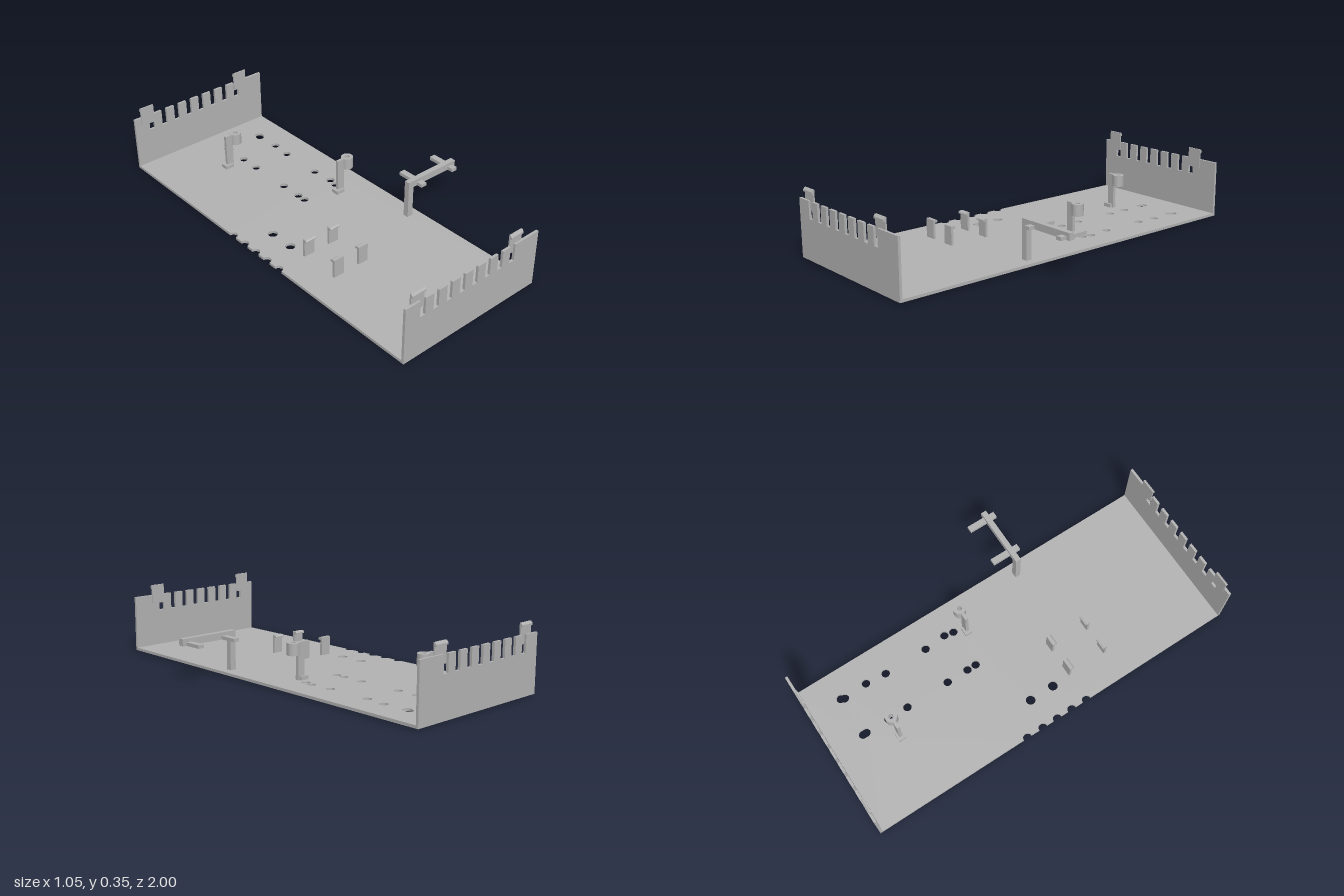
import * as THREE from 'three';

export function createModel() {
  const model = new THREE.Group();
  const grey = new THREE.MeshStandardMaterial({ color: 0xb2b2b2 });
  grey.name = 'grey plastic';

  const add = (name, geometry, parent = model) => {
    const mesh = new THREE.Mesh(geometry, grey);
    mesh.name = name;
    parent.add(mesh);
    return mesh;
  };
  // Box given by its limits on each axis
  const box = (name, x0, x1, y0, y1, z0, z1, parent) => {
    const g = new THREE.BoxGeometry(x1 - x0, y1 - y0, z1 - z0);
    g.translate((x0 + x1) / 2, (y0 + y1) / 2, (z0 + z1) / 2);
    return add(name, g, parent);
  };
  const extrude = (shape, depth) =>
    new THREE.ExtrudeGeometry(shape, { depth, bevelEnabled: false, curveSegments: 16 });

  const L = -0.528, R = 0.28, BOTTOM = 0.005, FLOOR = 0.019, T = 0.013;

  // Floor plate with round bites along the left edge (shape y is -z)
  const floor = new THREE.Shape();
  floor.moveTo(L, -1).lineTo(R, -1).lineTo(R, 1).lineTo(L, 1);
  for (const z of [-0.167, -0.077, 0.008, 0.093, 0.18])
    floor.absarc(L, -z, 0.023, Math.PI / 2, -Math.PI / 2, true);
  floor.closePath();

  // Screw holes
  const holes = [[-0.378, -0.05], [-0.378, 0.082]];
  for (const z of [-0.682, -0.574, -0.341, -0.225, -0.177])
    holes.push([-0.077, z], [z === -0.682 || z === -0.225 ? 0.138 : 0.129, z]);
  for (const [x, z] of holes) {
    const hole = new THREE.Path();
    hole.absarc(x, -z, z > -0.1 ? 0.024 : 0.021, 0, Math.PI * 2, true);
    floor.holes.push(hole);
  }
  // Elongated holes near the back
  for (const [xa, xb] of [[-0.077, -0.077], [0.138, 0.129]]) {
    const hole = new THREE.Path();
    const tilt = (xb - xa) / 0.018;
    hole.absarc(xa, 0.826, 0.021, tilt, Math.PI + tilt, false);
    hole.absarc(xb, 0.808, 0.021, Math.PI + tilt, Math.PI * 2 + tilt, false);
    hole.closePath();
    floor.holes.push(hole);
  }
  const floorGeometry = extrude(floor, FLOOR - BOTTOM);
  floorGeometry.rotateX(-Math.PI / 2).translate(0, BOTTOM, 0);
  add('floor', floorGeometry);

  // End walls with a comb of slots and two snap clips each
  const TOP = 0.294;
  for (const s of [1, -1]) {
    const end = new THREE.Group();
    end.name = s > 0 ? 'frontWall' : 'backWall';
    model.add(end);

    const wall = new THREE.Shape();
    wall.moveTo(L, BOTTOM).lineTo(R, BOTTOM).lineTo(R, TOP);
    for (let i = 7; i >= 0; i--) {
      const x = -0.444 + i * 0.0774;
      wall.lineTo(x + 0.03, TOP).lineTo(x + 0.03, 0.209).lineTo(x, 0.209).lineTo(x, TOP);
    }
    wall.lineTo(L, TOP).closePath();
    add('combWall', extrude(wall, T).translate(0, 0, s > 0 ? 1 - T : -1), end);

    for (const x of [-0.491, 0.1]) {
      const profile = new THREE.Shape([
        [0.983, 0.249], [0.99, 0.249], [0.99, 0.328], [0.998, 0.33], [0.998, 0.339], [0.99, 0.349], [0.983, 0.349],
      ].map(([z, y]) => new THREE.Vector2(z * s, y)));
      const g = extrude(profile, 0.077);
      g.rotateY(-Math.PI / 2).translate(x + 0.077, 0, 0);
      add('snapClip', g, end);
    }
  }

  // Cable holders: foot, thin post and a drilled cylinder
  for (const [x, z] of [[-0.125, -0.677], [0.155, -0.117]]) {
    const holder = new THREE.Group();
    holder.name = 'standoff';
    holder.position.set(x, 0, z);
    model.add(holder);
    box('foot', -0.082, -0.035, FLOOR, 0.038, -0.02, 0.02, holder);
    box('post', -0.066, -0.026, FLOOR, 0.204, -0.008, 0.008, holder);
    box('bottomNub', -0.066, -0.04, 0, BOTTOM, 0.003, 0.025, holder);
    const ring = new THREE.Shape();
    ring.absarc(0, 0, 0.03, 0, Math.PI * 2, false);
    const bore = new THREE.Path();
    bore.absarc(0, 0, 0.012, 0, Math.PI * 2, true);
    ring.holes.push(bore);
    add('drilledCylinder', extrude(ring, 0.059).rotateX(-Math.PI / 2).translate(0, 0.146, 0), holder);
  }

  // Four hooked tabs, hooks facing each other
  for (const [x0, x1] of [[-0.378, -0.32], [-0.23, -0.175]])
    for (const [z, s] of [[0.399, -1], [0.178, 1]]) {
      const profile = new THREE.Shape([
        [0, FLOOR], [0.012, FLOOR], [0.012, 0.099], [0.025, 0.101], [0.025, 0.108], [0.018, 0.114], [0, 0.114],
      ].map(([d, y]) => new THREE.Vector2(z + s * d, y)));
      add('hookTab', extrude(profile, x1 - x0).rotateY(-Math.PI / 2).translate(x1, 0, 0));
    }

  // Bracket arm reaching over the right-hand edge
  const arm = new THREE.Group();
  arm.name = 'bracketArm';
  model.add(arm);
  box('armPost', 0.204, 0.236, FLOOR, 0.182, 0.248, 0.276, arm);
  box('armBar', 0.204, 0.522, 0.182, 0.217, 0.248, 0.276, arm);
  for (const x of [0.259, 0.471])
    box('armCrossbar', x, x + 0.032, 0.183, 0.2, 0.154, 0.308, arm);

  return model;
}
